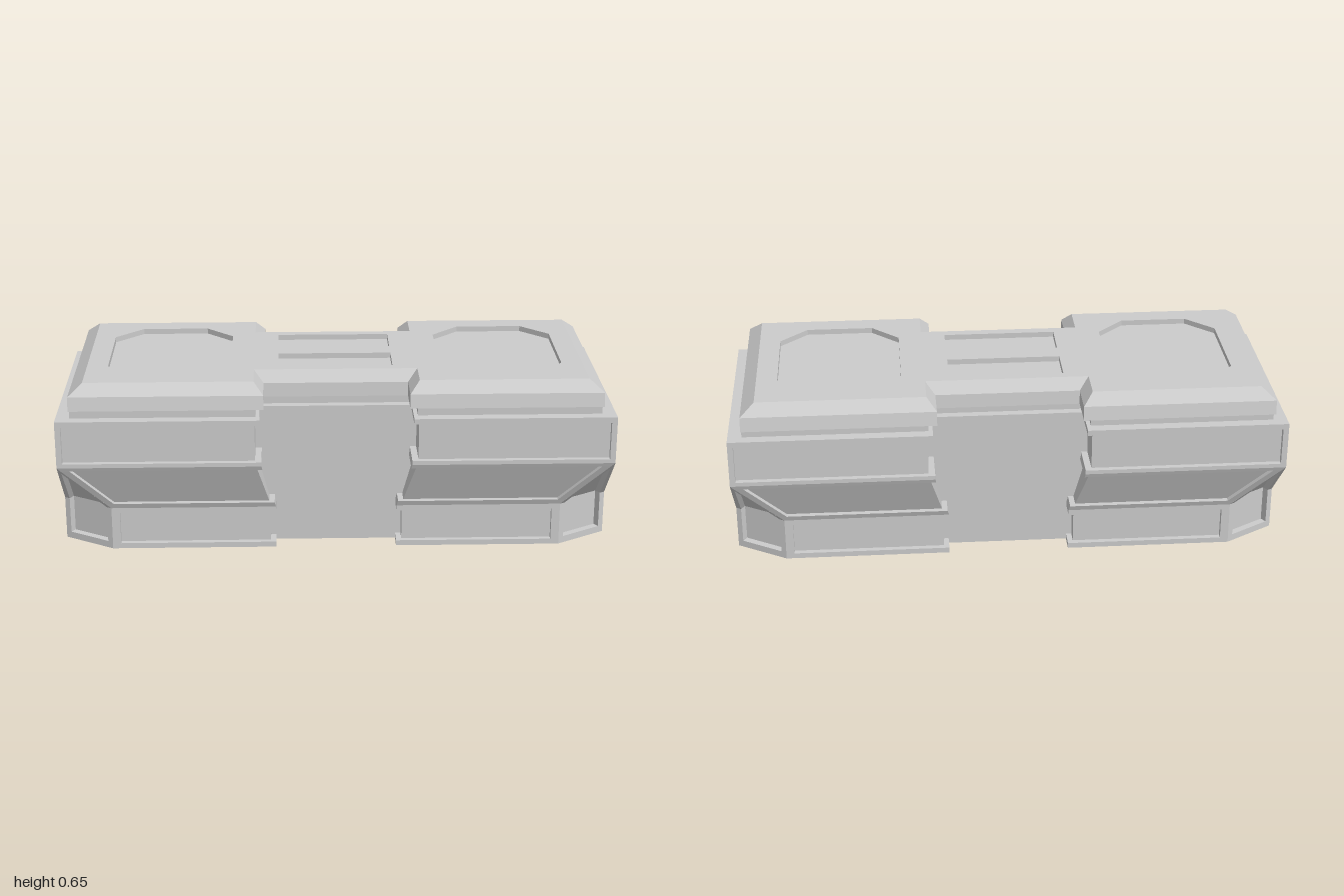
import * as THREE from 'three';

const mat = new THREE.MeshStandardMaterial({ color: 0xcccccc, flatShading: true, side: THREE.DoubleSide });

// Geometry from polygons, each a counter-clockwise convex loop of [x, y, z]
function fromPolys(polys) {
  const pos = [];
  for (const p of polys)
    for (let i = 1; i < p.length - 1; i++) pos.push(...p[0], ...p[i], ...p[i + 1]);
  const g = new THREE.BufferGeometry();
  g.setAttribute('position', new THREE.Float32BufferAttribute(pos, 3));
  g.computeVertexNormals();
  return g;
}

// Framed panel: flat rim, step walls and a sunken floor
function panel(outer, inner, shift) {
  const floor = inner.map(p => p.map((v, k) => v + shift[k]));
  const polys = [floor];
  outer.forEach((o, i) => {
    const j = (i + 1) % outer.length;
    polys.push([o, outer[j], inner[j], inner[i]], [inner[i], inner[j], floor[j], floor[i]]);
  });
  return polys;
}

// Walls through rings of [x, z] loops at given heights
function loft(rings) {
  const polys = [];
  for (let r = 0; r < rings.length - 1; r++) {
    const [y0, a] = rings[r], [y1, b] = rings[r + 1];
    a.forEach((p, i) => {
      const j = (i + 1) % a.length;
      polys.push([[p[0], y0, p[1]], [a[j][0], y0, a[j][1]], [b[j][0], y1, b[j][1]], [b[i][0], y1, b[i][1]]]);
    });
  }
  return fromPolys(polys);
}

// Dumbbell outline: two wide ends joined by a narrow waist
const outline = (xo, zo, xi, zi) => [
  [-xo, zo], [-xi, zo], [-xi, zi], [xi, zi], [xi, zo], [xo, zo],
  [xo, -zo], [xi, -zo], [xi, -zi], [-xi, -zi], [-xi, -zo], [-xo, -zo]];

const vecs = pts => pts.map(([x, z]) => new THREE.Vector2(x, -z));
const flat = (pts, y) => new THREE.ShapeGeometry(new THREE.Shape(vecs(pts))).rotateX(-Math.PI / 2).translate(0, y, 0);
const lerp = (a, b, t) => a.map((v, k) => v + (b[k] - v) * t);

// Banded side of one quarter: front wall, inner return and outer post
function sidePolys() {
  // y, front z, inner x, outer x, recessed
  const levels = [
    [0, 0.32, 0.22, 0.82, 0], [0.02, 0.32, 0.22, 0.82, 0],
    [0.02, 0.30, 0.24, 0.79, 1], [0.14, 0.30, 0.24, 0.79, 1],
    [0.14, 0.32, 0.22, 0.82, 0], [0.16, 0.32, 0.22, 0.82, 0], [0.18, 0.328, 0.225, 0.839, 0],
    [0.18, 0.308, 0.245, 0.81, 1], [0.335, 0.373, 0.288, 0.955, 1],
    [0.335, 0.394, 0.267, 0.986, 0], [0.35, 0.40, 0.27, 1, 0], [0.365, 0.40, 0.27, 1, 0],
    [0.365, 0.38, 0.293, 0.98, 1], [0.505, 0.38, 0.293, 0.98, 1],
    [0.505, 0.40, 0.275, 1, 0], [0.525, 0.40, 0.275, 1, 0]];
  const polys = [], core = 0.24;
  for (let i = 0; i < levels.length - 1; i++) {
    const [y0, z0, a0, b0, rec0] = levels[i], [y1, z1, a1, b1, rec1] = levels[i + 1];
    polys.push([[a0, y0, z0], [b0, y0, z0], [b1, y1, z1], [a1, y1, z1]],
      [[a0, y0, core], [a0, y0, z0], [a1, y1, z1], [a1, y1, core]]);
    if (rec0 && rec1) {
      const lo = levels[i - 1], hi = levels[i + 2];
      polys.push([[b0, y0, lo[1]], [lo[3], y0, lo[1]], [hi[3], y1, hi[1]], [b1, y1, hi[1]]],
        [[b0, y0, z0], [b0, y0, lo[1]], [b1, y1, hi[1]], [b1, y1, z1]]);
    }
  }
  return polys;
}

// Chamfered lower corner with a tapering gusset above it
function cornerPolys() {
  const a = [1, 0.35, 0.4], b = [0.82, 0.16, 0.32], c = [1, 0.16, 0.21];
  const b0 = [b[0], 0, b[2]], c0 = [c[0], 0, c[2]];
  const bi = lerp(b, c, 0.1), ci = lerp(b, c, 0.9);
  const inner = [bi, [bi[0], 0.025, bi[2]], [ci[0], 0.025, ci[2]], ci, lerp(a, lerp(b, c, 0.5), 0.15)];
  return panel([b, b0, c0, c, a], inner, [-0.0135, 0, -0.022]);
}

// End face: large hexagonal panel over a low rectangular one
function endPolys() {
  const loop = half => [...half.map(([y, z]) => [1, y, z]), ...half.slice().reverse().map(([y, z]) => [1, y, -z])];
  const hex = loop([[0.525, 0.4], [0.35, 0.4], [0.16, 0.21]]);
  const hexIn = loop([[0.505, 0.38], [0.358, 0.38], [0.18, 0.202]]);
  const low = loop([[0.16, 0.21], [0, 0.21]]);
  const lowIn = loop([[0.14, 0.19], [0.02, 0.19]]);
  return [...panel(hex, hexIn, [-0.02, 0, 0]), ...panel(low, lowIn, [-0.02, 0, 0])];
}

export function createModel() {
  const group = new THREE.Group();
  const add = (name, geo, sx = 1, sz = 1) => {
    const m = new THREE.Mesh(geo, mat);
    m.name = name;
    m.scale.set(sx, 1, sz);
    group.add(m);
    return m;
  };

  // Sides, corners and ends, mirrored
  const side = fromPolys(sidePolys()), corner = fromPolys(cornerPolys()), end = fromPolys(endPolys());
  for (const sx of [1, -1]) {
    for (const sz of [1, -1]) {
      add('sideBands', side, sx, sz);
      add('cornerGusset', corner, sx, sz);
    }
    add('endPanels', end, sx);
  }

  // Waist, underside and shoulder deck
  add('waistCore', loft([0, 0.525].map(y => [y, [[-0.3, 0.25], [0.3, 0.25], [0.3, -0.25], [-0.3, -0.25]]])));
  const half = [[0.22, 0.25], [0.22, 0.32], [0.82, 0.32], [1, 0.21]];
  const right = [...half, ...half.slice().reverse().map(([x, z]) => [x, -z])];
  const base = [...right, ...right.map(([x, z]) => [-x, -z])];
  add('underside', flat(base, 0).rotateX(Math.PI));
  add('shoulderDeck', flat(outline(1, 0.4, 0.275, 0.25), 0.525));

  // Recessed neck and bevelled cap
  const neck = outline(0.95, 0.36, 0.29, 0.22);
  add('neck', loft([[0.525, neck], [0.565, neck]]));
  const capLow = outline(0.95, 0.4, 0.26, 0.26), top = outline(0.9, 0.35, 0.295, 0.22);
  add('capUnderside', flat(capLow, 0.565).rotateX(Math.PI).translate(0, 1.13, 0));
  add('capSides', loft([[0.565, capLow], [0.615, outline(0.95, 0.39, 0.26, 0.255)], [0.655, top]]));

  // Cap top with octagonal and rectangular recesses
  const plate = new THREE.Shape(vecs(top));
  const hole = pts => plate.holes.push(new THREE.Path(vecs(pts)));
  for (const s of [1, -1]) {
    const cx = 0.602 * s, w = 0.222, d = 0.272, c = 0.1;
    hole([[w - c, d], [w, d - c], [w, c - d], [w - c, -d], [c - w, -d], [-w, c - d], [-w, d - c], [c - w, d]]
      .map(([x, z]) => [x + cx, z]));
    hole([[-0.207, 0.04 * s], [0.207, 0.04 * s], [0.207, 0.185 * s], [-0.207, 0.185 * s]]);
  }
  add('capTop', new THREE.ExtrudeGeometry(plate, { depth: 0.02, bevelEnabled: false })
    .rotateX(-Math.PI / 2).translate(0, 0.635, 0));
  add('recessFloor', flat(top, 0.635));
  return group;
}
